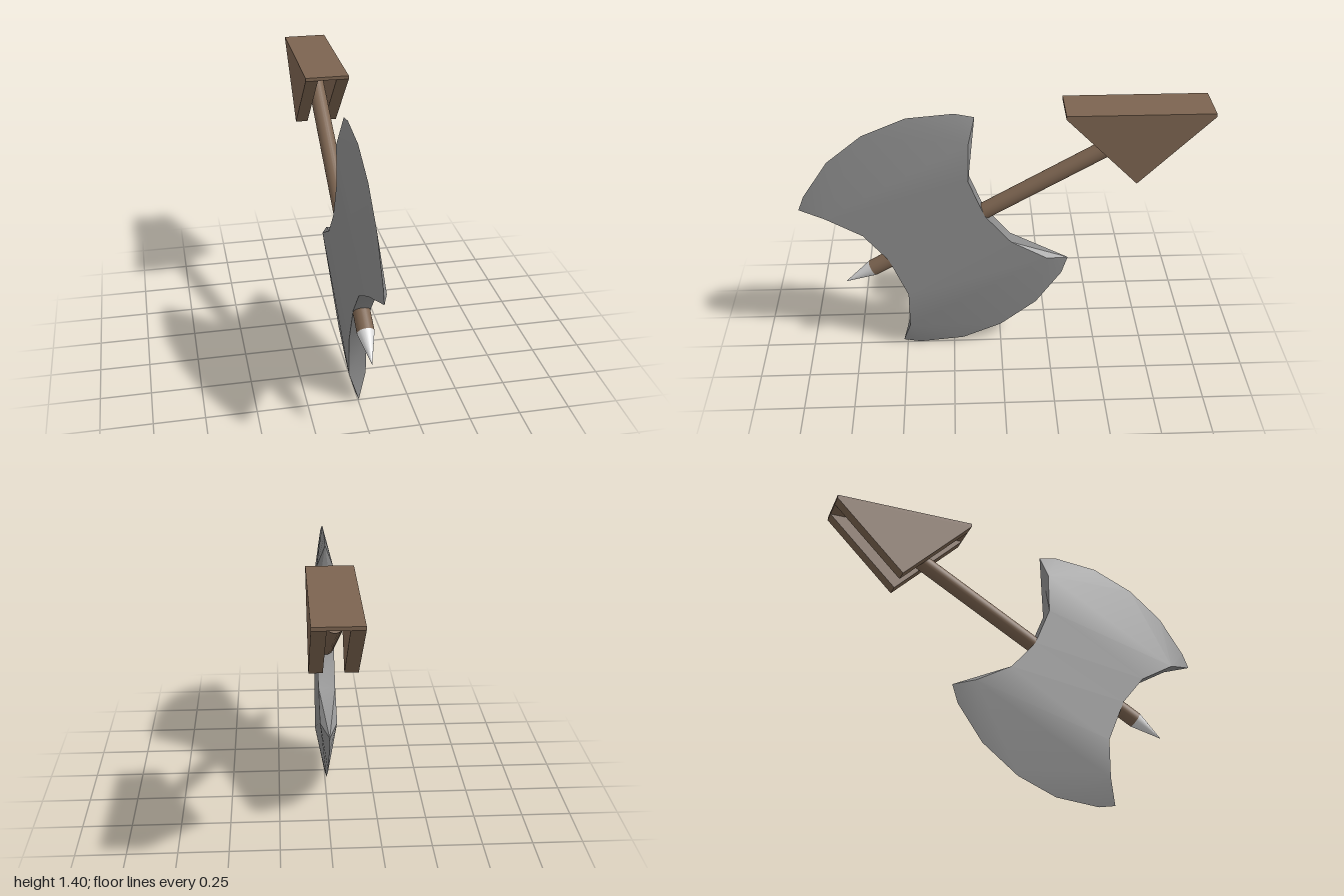
import * as THREE from 'three';
import { toCreasedNormals } from 'three/addons/utils/BufferGeometryUtils.js';

const HALF = 0.042; // half thickness of the axe head

// Double-bladed head: full-thickness waist, tapering to a sharp rim on both arcs
function headGeometry() {
  // Outline points are [z, y]
  const rear = [[-0.235, 0.56], [-0.05, 0.665], [0.08, 0.82], [0.16, 1.02], [0.156, 1.23]];
  const front = [[0.48, 0.15], [0.48, 0.35], [0.57, 0.57], [0.69, 0.72], [0.87, 0.825]];
  const upperArc = [[0.125, 1.35], [0.22, 1.37], [0.45, 1.35], [0.665, 1.26], [0.84, 1.12], [0.97, 0.93], [1, 0.855]];
  const lowerArc = [[0.52, 0.02], [0.43, 0.003], [0.2, 0.026], [0, 0.11], [-0.185, 0.255], [-0.315, 0.44], [-0.345, 0.535]];
  const rim = new Set([...upperArc, ...lowerArc]);
  const pos = [];
  const put = (p, s) => pos.push(rim.has(p) ? 0 : s * HALF, p[1], p[0]);

  // One triangle on the left cheek and its mirror on the right
  const cheek = (a, b, c) => {
    [a, b, c].forEach((p) => put(p, 1));
    [a, c, b].forEach((p) => put(p, -1));
  };
  // Wall joining the two cheeks along the outline edge a-b
  const wall = (a, b) => {
    if (!rim.has(a)) { put(a, 1); put(a, -1); put(b, -1); }
    if (!rim.has(b)) { put(a, 1); put(b, -1); put(b, 1); }
  };
  // Bevel from the chord a-b out to the sharp arc
  const blade = (a, arc, b) => {
    for (let i = 0; i < 6; i++) cheek(i < 3 ? a : b, arc[i], arc[i + 1]);
    cheek(a, arc[3], b);
  };

  for (let i = 0; i < 4; i++) {
    cheek(front[i], rear[i], front[i + 1]);
    cheek(front[i + 1], rear[i], rear[i + 1]);
    wall(front[i + 1], front[i]);
  }
  blade(rear[4], upperArc, front[4]);
  blade(front[0], lowerArc, rear[0]);
  wall(upperArc[6], front[4]);
  wall(front[0], lowerArc[0]);

  // Rear walls run straight out to the blade tips
  for (let i = 1; i < 3; i++) wall(rear[i], rear[i + 1]);
  wall(rear[3], upperArc[0]);
  cheek(rear[3], upperArc[0], rear[4]);
  wall(lowerArc[6], rear[1]);
  cheek(lowerArc[6], rear[1], rear[0]);

  const g = new THREE.BufferGeometry();
  g.setAttribute('position', new THREE.Float32BufferAttribute(pos, 3));
  return toCreasedNormals(g, 0.6);
}

export function createModel() {
  const steel = new THREE.MeshStandardMaterial({ color: 0x8c8c8c });
  steel.name = 'steel';
  const wood = new THREE.MeshStandardMaterial({ color: 0x7c6450 });
  wood.name = 'wood';
  const pale = new THREE.MeshStandardMaterial({ color: 0xdedede });
  pale.name = 'paleMetal';

  const group = new THREE.Group();
  const add = (name, geometry, material, parent = group) => {
    const mesh = new THREE.Mesh(geometry, material);
    mesh.name = name;
    parent.add(mesh);
    return mesh;
  };

  add('axeHead', headGeometry(), steel);

  // Shaft and spike share one axis, rising 30 degrees towards the back
  const shaft = new THREE.Group();
  shaft.name = 'shaftAssembly';
  shaft.position.set(0, 0.415, 0.8);
  shaft.rotation.x = -Math.PI / 3;
  group.add(shaft);
  const spike = 0.168, end = 1.778;
  add('shaft', new THREE.CylinderGeometry(0.0415, 0.0415, end - spike, 24), wood, shaft)
    .position.y = (spike + end) / 2;
  const tip = add('spikeTip', new THREE.ConeGeometry(0.0415, spike, 24), pale, shaft);
  tip.rotation.x = Math.PI;
  tip.position.y = spike / 2;

  // Tail: a flat board over two triangular cheeks
  add('tailTopBoard', new THREE.BoxGeometry(0.22, 0.017, 0.7), wood).position.set(0, 1.3915, -0.65);
  const triangle = new THREE.Shape([[0.35, 1.383], [-0.35, 1.383], [0, 1.033]]
    .map(([x, y]) => new THREE.Vector2(x, y)));
  const board = new THREE.ExtrudeGeometry(triangle, { depth: 0.063, bevelEnabled: false });
  board.rotateY(Math.PI / 2);
  for (const [name, x] of [['leftTailBoard', 0.047], ['rightTailBoard', -0.11]]) {
    add(name, board, wood).position.set(x, 0, -0.65);
  }
  return group;
}
